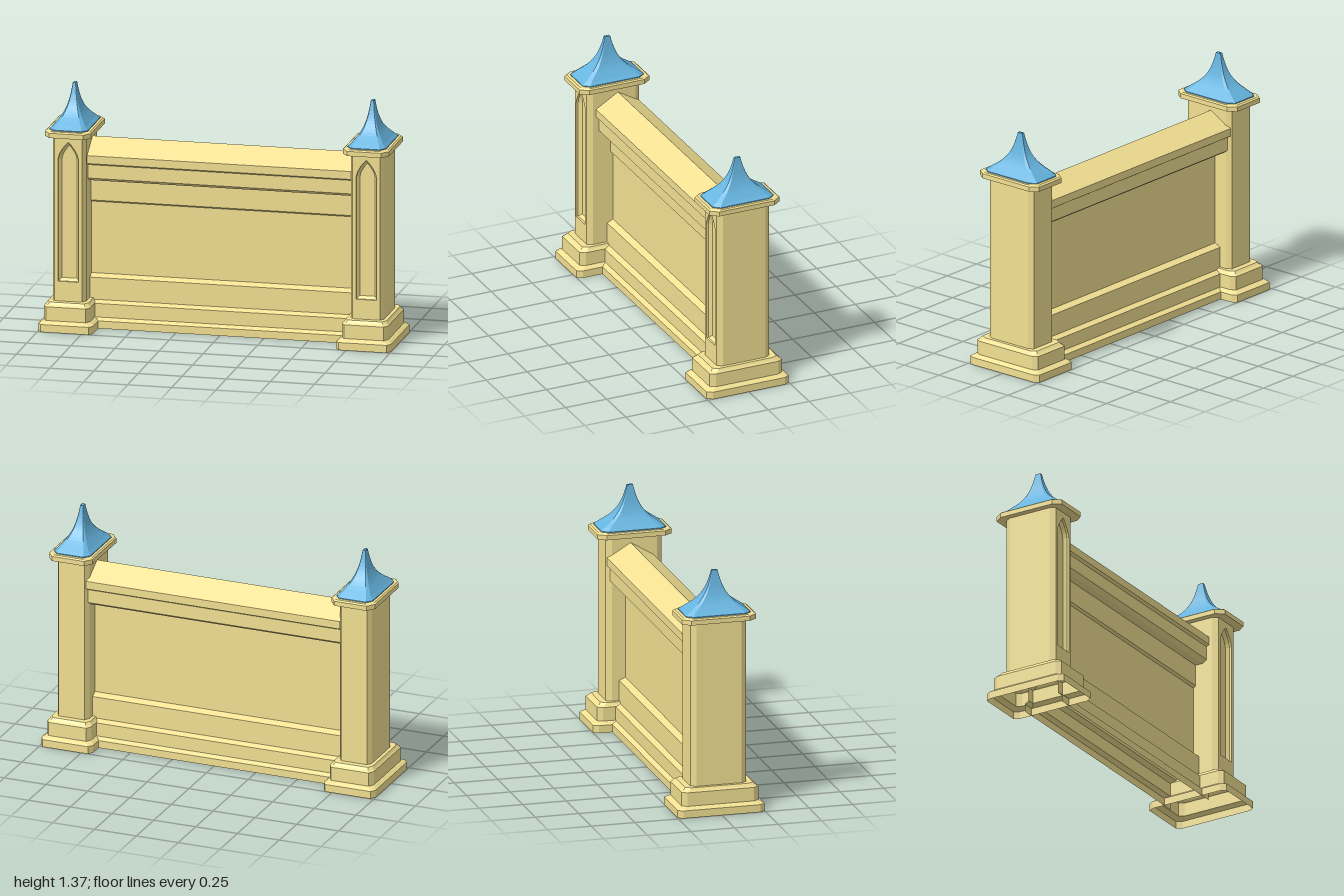
import * as THREE from 'three';

const stone = new THREE.MeshStandardMaterial({ color: 0xf2e092, flatShading: true, side: THREE.DoubleSide });
const slate = new THREE.MeshStandardMaterial({ color: 0x66b5e0, flatShading: true, side: THREE.DoubleSide });

// Flat-faced skin over a series of closed rings; edge number `skip` is left open
function skin(rings, skip = -1) {
  const pos = [];
  for (let r = 0; r + 1 < rings.length; r++) {
    const a = rings[r], b = rings[r + 1], n = a.length;
    for (let i = 0; i < n; i++) {
      if (i === skip) continue;
      const j = (i + 1) % n;
      for (const p of [a[i], a[j], b[j], a[i], b[j], b[i]]) pos.push(...p);
    }
  }
  const g = new THREE.BufferGeometry();
  g.setAttribute('position', new THREE.Float32BufferAttribute(pos, 3));
  g.computeVertexNormals();
  return g;
}

// Horizontal rectangle with cut corners; edge 0 is the front
function plan(y, hx, hz, cx = 0.018, cz = 0.03) {
  const x = hx - cx, z = hz - cz;
  return [[-x, hz], [x, hz], [hx, z], [hx, -z], [x, -hz], [-x, -hz], [-hx, -z], [-hx, z]]
    .map(([px, pz]) => [px, y, pz]);
}

// Pointed-arch outline
function arch(h, bottom, spring, tip) {
  const rise = tip - spring;
  const side = [[h, bottom], [h, spring], [0.87 * h, spring + 0.28 * rise],
    [0.62 * h, spring + 0.55 * rise], [0.32 * h, spring + 0.79 * rise]];
  return [...side, [0, tip], ...side.map(([x, y]) => [-x, y]).reverse()];
}
const vec = (pts) => pts.map(([x, y]) => new THREE.Vector2(x, y));

function add(parent, name, geometry, material = stone) {
  const m = new THREE.Mesh(geometry, material);
  m.name = name;
  parent.add(m);
  return m;
}

function makePillar() {
  const g = new THREE.Group();
  const HX = 0.095, HZ = 0.16, LOW = 0.16, HIGH = 1.1;

  // Stepped, hollow base
  add(g, 'pillarBase', skin([
    plan(0, 0.155, 0.25), plan(0.043, 0.155, 0.25), plan(0.052, 0.143, 0.236),
    plan(0.06, 0.131, 0.22), plan(0.138, 0.131, 0.22), plan(0.148, 0.122, 0.206),
    plan(LOW, 0.115, 0.195), plan(LOW, HX, HZ),
  ]));

  // Shaft, with its front face cut out for the niche
  add(g, 'pillarShaft', skin([plan(LOW, HX, HZ), plan(HIGH, HX, HZ)], 0));
  const fx = HX - 0.018;
  const outer = arch(0.058, 0.272, 0.97, 1.068);
  const inner = arch(0.043, 0.287, 0.965, 1.045);
  const face = new THREE.Shape(vec([[-fx, LOW], [fx, LOW], [fx, HIGH], [-fx, HIGH]]));
  face.holes.push(new THREE.Path(vec(outer)));
  add(g, 'shaftFront', new THREE.ShapeGeometry(face)).position.z = HZ;

  // Recessed arched niche
  const at = (pts, z) => pts.map(([x, y]) => [x, y, z]);
  add(g, 'nicheFrame', skin([at(outer, HZ), at(outer, HZ - 0.012), at(inner, HZ - 0.03)]));
  add(g, 'nichePanel', new THREE.ShapeGeometry(new THREE.Shape(vec(inner)))).position.z = HZ - 0.03;

  // Projecting cap slab with wide cut corners
  add(g, 'pillarCap', skin([
    plan(HIGH, HX, HZ), plan(HIGH, 0.13, 0.213, 0.034, 0.045), plan(1.127, 0.13, 0.213, 0.034, 0.045),
    plan(1.134, 0.122, 0.203, 0.032, 0.042), plan(1.134, 0.05, 0.1),
  ]));

  // Concave spire roof on a thin eave
  const roof = [plan(1.132, 0.108, 0.185, 0.028, 0.036), plan(1.139, 0.108, 0.185, 0.028, 0.036)];
  const curve = new THREE.SplineCurve(vec([[0.163, 1.155], [0.1, 1.202], [0.06, 1.25], [0.034, 1.307], [0.016, 1.372]]));
  for (const p of curve.getPoints(14)) {
    const hx = p.x * 0.56;
    roof.push(plan(p.y, hx, p.x, hx * 0.2, p.x * 0.16));
  }
  add(g, 'spireRoof', skin(roof), slate);
  add(g, 'spireTip', new THREE.PlaneGeometry(0.016, 0.03).rotateX(-Math.PI / 2), slate).position.y = 1.372;
  return g;
}

function makeWall() {
  // Profiles from ridge to ground: distance from the wall's middle, height
  const coping = [[0.133, 0.985], [0.133, 0.94], [0.116, 0.93], [0.116, 0.853]];
  const plinth = [[0.03, 0.292], [0.066, 0.275], [0.066, 0.15], [0.096, 0.135],
    [0.096, 0.058], [0.122, 0.043], [0.122, 0]];
  const front = [...coping, [0.09, 0.835], [0.045, 0.835], [0.045, 0.71], [0.03, 0.7], ...plinth];
  const back = [...coping, [0.09, 0.835], [0.03, 0.835], ...plinth];
  const profile = [[0, 1.065], ...front, ...back.map(([z, y]) => [-z, y]).reverse()];
  const section = (x) => profile.map(([z, y]) => [x, y, z - 0.022]);
  // The underside edge stays open
  return skin([section(-0.76), section(0.76)], front.length);
}

export function createModel() {
  const model = new THREE.Group();
  model.name = 'wallWithPillars';
  add(model, 'wall', makeWall());
  for (const [name, side] of [['leftPillar', 1], ['rightPillar', -1]]) {
    const p = makePillar();
    p.name = name;
    p.position.x = side * 0.845;
    model.add(p);
  }
  return model;
}
